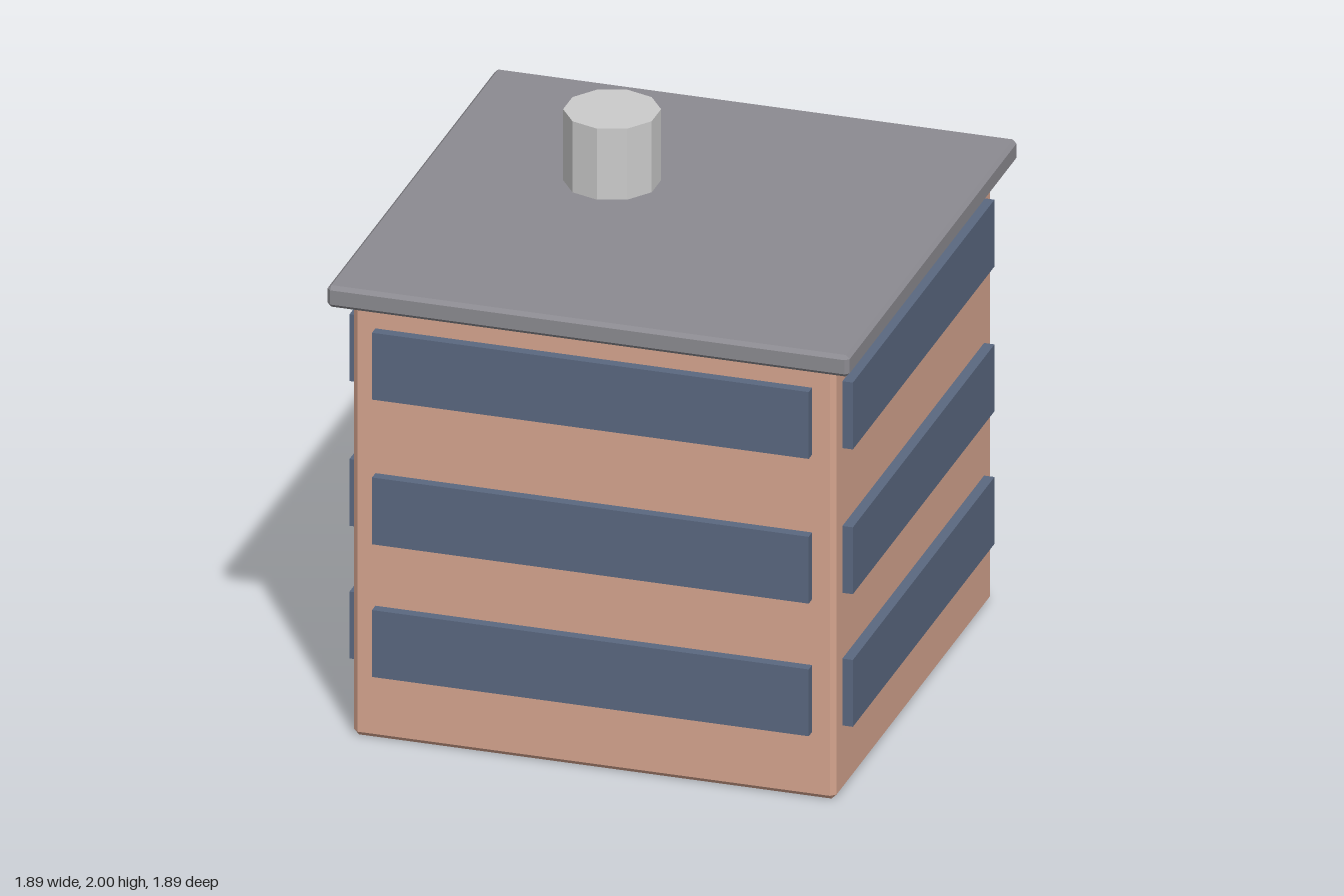
import * as THREE from 'three';
import { ConvexGeometry } from 'three/addons/geometries/ConvexGeometry.js';

const paint = (color) => new THREE.MeshStandardMaterial({ color, flatShading: true });

// Box with bevelled edges: the hull of three boxes, each full size along one axis
function bevelBox(w, h, d, c) {
  const pts = [];
  for (const x of [-1, 1]) for (const y of [-1, 1]) for (const z of [-1, 1]) {
    const [X, Y, Z] = [w / 2, h / 2, d / 2];
    pts.push(
      new THREE.Vector3(x * X, y * (Y - c), z * (Z - c)),
      new THREE.Vector3(x * (X - c), y * Y, z * (Z - c)),
      new THREE.Vector3(x * (X - c), y * (Y - c), z * Z),
    );
  }
  return new ConvexGeometry(pts);
}

export function createModel() {
  const model = new THREE.Group();
  model.name = 'officeBlock';

  const add = (name, geometry, material, x, y, z, parent = model) => {
    const mesh = new THREE.Mesh(geometry, material);
    mesh.name = name;
    mesh.position.set(x, y, z);
    parent.add(mesh);
    return mesh;
  };

  // Walls and overhanging roof slab
  add('walls', bevelBox(1.75, 1.65, 1.75, 0.018), paint(0xd6a58f), 0, 0.825, 0);
  add('roofSlab', bevelBox(1.894, 0.082, 1.894, 0.014), paint(0x8c8b91), 0, 1.689, 0);

  // Ten-sided roof vent
  add('roofVent', new THREE.CylinderGeometry(0.169, 0.169, 0.28, 10), paint(0xbdbdbd), -0.278, 1.86, -0.187);

  // Three window bands on each of the four sides
  const glass = paint(0x5a6880);
  const band = new THREE.BoxGeometry(1.584, 0.254, 0.06);
  for (let side = 0; side < 4; side++) {
    const wall = new THREE.Group();
    wall.name = 'windowWall' + (side + 1);
    wall.rotation.y = side * Math.PI / 2;
    model.add(wall);
    [0.379, 0.883, 1.433].forEach((y, i) => add('windowBand' + (i + 1), band, glass, 0, y, 0.883, wall));
  }

  // Door at the back, just proud of the windows
  add('door', new THREE.BoxGeometry(0.3, 0.426, 0.06), paint(0x68635e), 0, 0.213, -0.887);

  return model;
}
